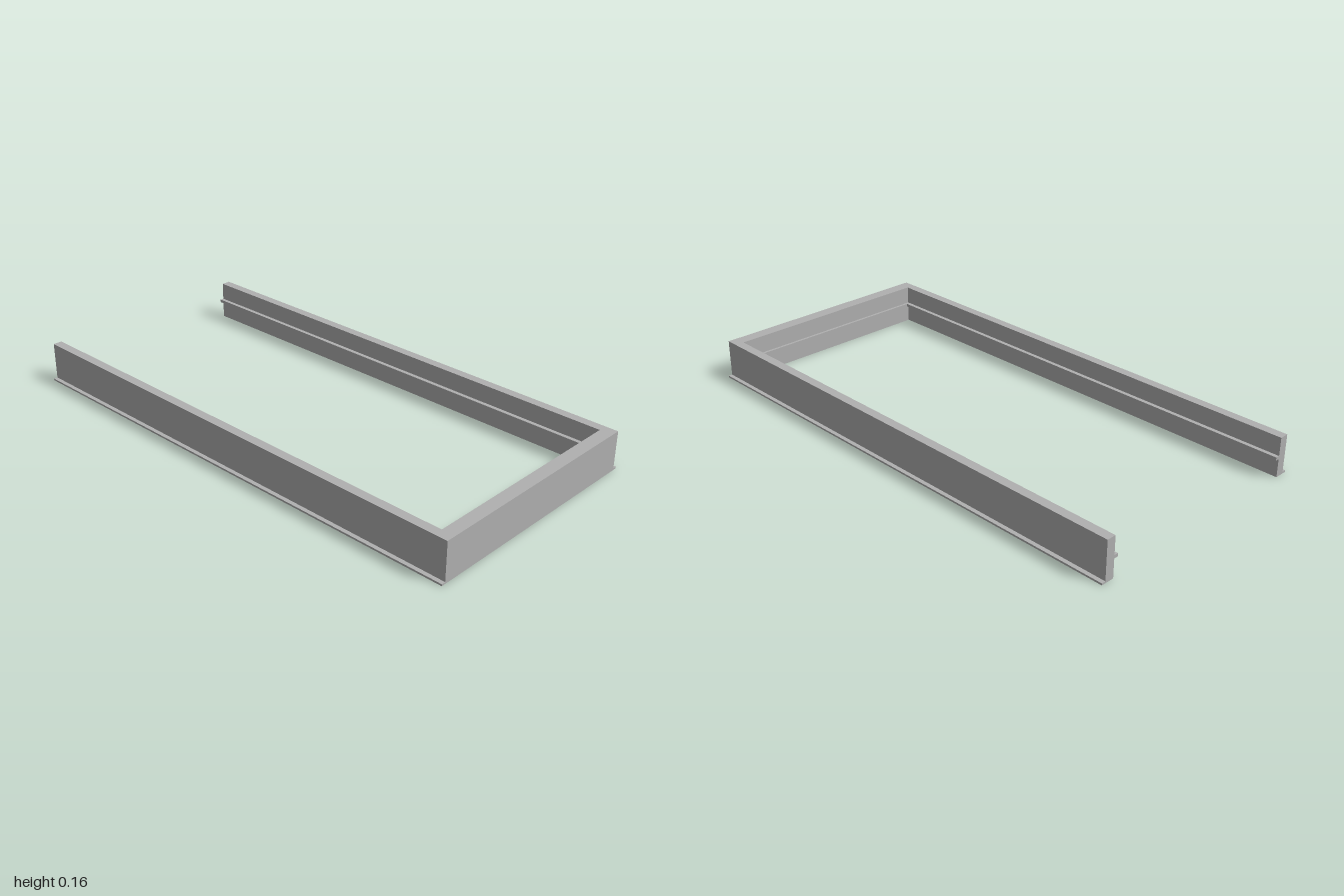
import * as THREE from 'three';

export function createModel() {
  const model = new THREE.Group();
  const grey = new THREE.MeshStandardMaterial({ color: 0xb0b0b0 });
  grey.name = 'plain grey';

  // U-shaped band, open at the back, extruded upwards from y to y + h
  function band(name, outerX, outerZ, innerX, innerZ, y, h) {
    const outline = [
      [-outerX, -1], [-outerX, outerZ], [outerX, outerZ], [outerX, -1],
      [innerX, -1], [innerX, innerZ], [-innerX, innerZ], [-innerX, -1],
    ];
    // the shape's y becomes -z once laid flat
    const shape = new THREE.Shape(outline.map(([x, z]) => new THREE.Vector2(x, -z)));
    const geo = new THREE.ExtrudeGeometry(shape, { depth: h, bevelEnabled: false });
    geo.rotateX(-Math.PI / 2);
    geo.translate(0, y, 0);
    const mesh = new THREE.Mesh(geo, grey);
    mesh.name = name;
    model.add(mesh);
  }

  // Upright frame and the thin rail around its inside
  band('frameWall', 0.469, 1, 0.433, 0.949, 0, 0.155);
  band('innerRail', 0.433, 0.949, 0.417, 0.938, 0.072, 0.012);

  // Low lips along the outside of both long walls
  for (const side of [-1, 1]) {
    const lip = new THREE.Mesh(new THREE.BoxGeometry(0.016, 0.007, 2), grey);
    lip.position.set(side * 0.477, 0.0035, 0);
    lip.name = side > 0 ? 'leftLip' : 'rightLip';
    model.add(lip);
  }
  return model;
}
